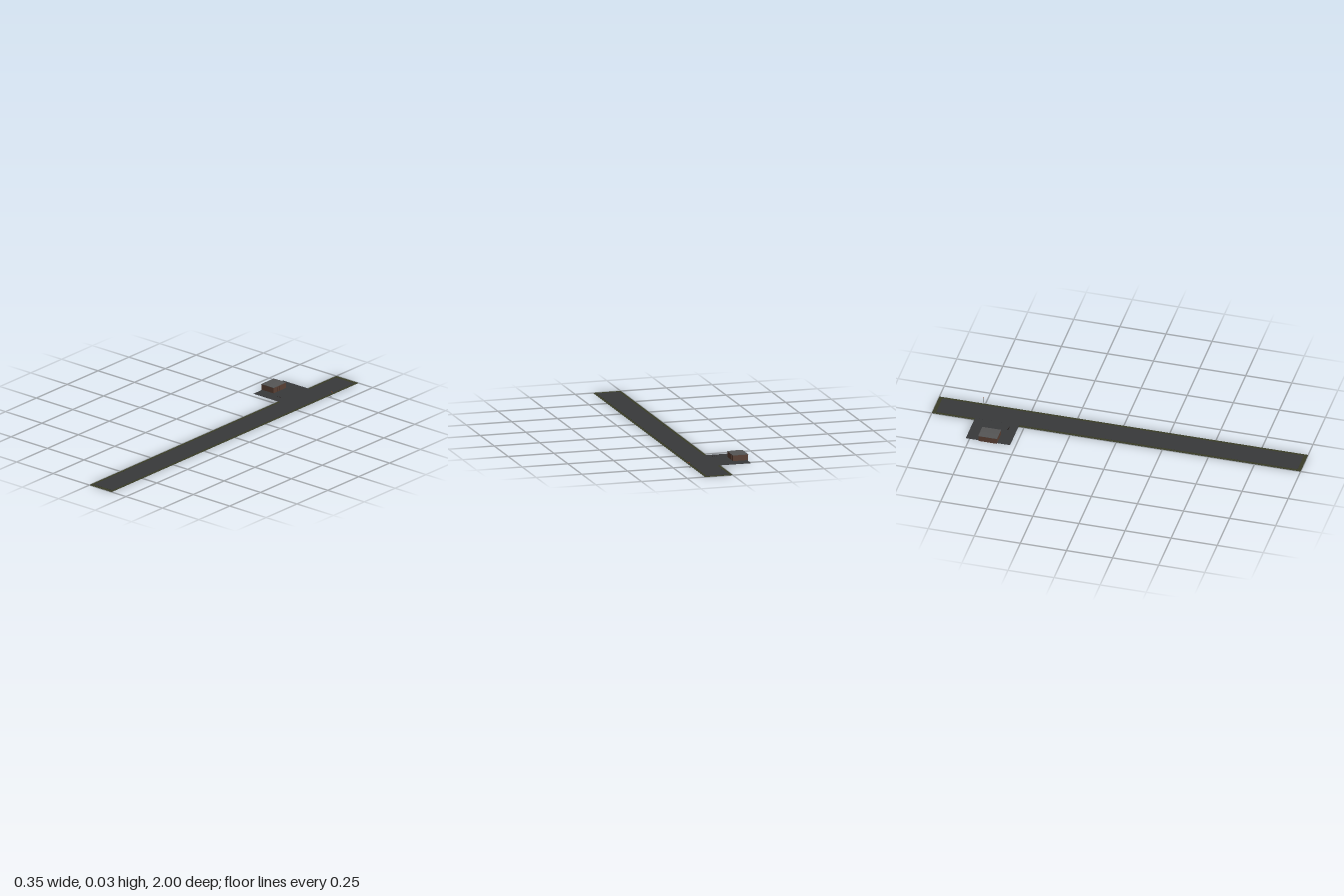
import * as THREE from 'three';

const mat = (color, extra = {}) => new THREE.MeshStandardMaterial({ color, ...extra });

export function createModel() {
  const airfield = new THREE.Group();
  airfield.name = 'airfield';
  const grass = mat(0x3a3d28), asphalt = mat(0x38393b), brick = mat(0x5a4034);
  const roofing = mat(0x555555, { side: THREE.DoubleSide, flatShading: true });
  const dark = mat(0x2c2522), lamp = mat(0x3a3a30);

  function add(name, geometry, material, x, y, z, parent = airfield) {
    const mesh = new THREE.Mesh(geometry, material);
    mesh.name = name;
    mesh.position.set(x, y, z);
    parent.add(mesh);
    return mesh;
  }
  // Box given by its extents
  function slab(name, material, x0, x1, y0, y1, z0, z1, parent) {
    return add(name, new THREE.BoxGeometry(x1 - x0, y1 - y0, z1 - z0), material,
      (x0 + x1) / 2, (y0 + y1) / 2, (z0 + z1) / 2, parent);
  }

  // Ground surfaces
  slab('grassStrip', grass, 0, 0.152, 0, 0.0008, -1, 1);
  slab('runway', asphalt, 0.014, 0.138, 0.0004, 0.0013, -0.98, 0.98);
  slab('apron', asphalt, -0.17, 0.016, 0.0003, 0.0012, -0.77, -0.53);

  // Low lights along both runway edges
  const lightShape = new THREE.CylinderGeometry(0.0007, 0.0007, 0.0012, 6);
  for (const x of [0.018, 0.139])
    for (let i = 0; i < 18; i++)
      add('edgeLight', lightShape, lamp, x, 0.0016, 0.977 - i * 0.115);

  // Hangar with a very shallow ridged roof
  const hangar = new THREE.Group();
  hangar.name = 'hangar';
  airfield.add(hangar);
  slab('walls', brick, -0.176, -0.093, 0, 0.031, -0.7, -0.6, hangar);
  const profile = new THREE.Shape();
  profile.moveTo(-0.0425, 0);
  profile.lineTo(0.0425, 0);
  profile.lineTo(0.0425, 0.001);
  profile.lineTo(0.005, 0.0025);
  profile.lineTo(-0.005, 0.0025);
  profile.lineTo(-0.0425, 0.001);
  const roof = new THREE.ExtrudeGeometry(profile, { depth: 0.102, bevelEnabled: false });
  add('roof', roof, roofing, -0.1345, 0.031, -0.701, hangar);
  for (let i = 0; i < 4; i++)
    slab('doorPanel', brick, -0.0935, -0.0925, 0.001, 0.026,
      -0.69 + i * 0.02, -0.671 + i * 0.02, hangar);

  // Fuel drums
  const drumShape = new THREE.CylinderGeometry(0.0021, 0.0021, 0.006, 12);
  for (let i = 0; i < 3; i++)
    add('fuelDrum', drumShape, dark, -0.042 + i * 0.0105, 0.004, -0.575);

  // Windsock on its pole
  const windsock = new THREE.Group();
  windsock.name = 'windsock';
  windsock.position.set(0.163, 0, -0.765);
  airfield.add(windsock);
  add('poleBase', new THREE.CylinderGeometry(0.002, 0.0025, 0.002, 10), dark, 0, 0.001, 0, windsock);
  add('pole', new THREE.CylinderGeometry(0.0004, 0.0004, 0.028, 8), mat(0x777777), 0, 0.014, 0, windsock);
  const sock = add('sock', new THREE.CylinderGeometry(0.0015, 0.0007, 0.014, 10, 1, true),
    mat(0x9a4a25, { side: THREE.DoubleSide }), 0.0075, 0.026, 0, windsock);
  sock.rotation.z = Math.PI / 2 - 0.08;
  return airfield;
}
